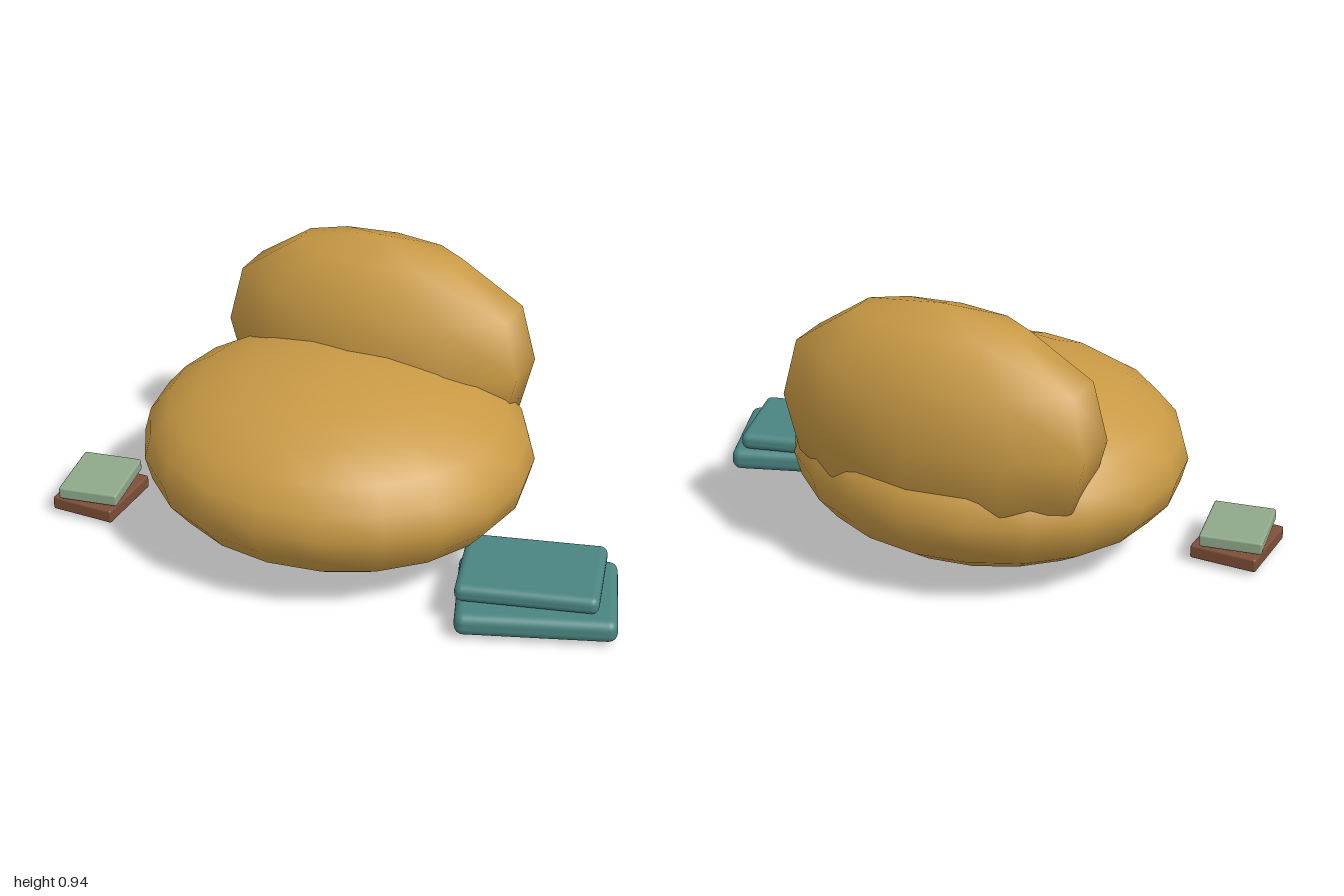
import * as THREE from 'three';
import { RoundedBoxGeometry } from 'three/addons/geometries/RoundedBoxGeometry.js';

const material = (color) => new THREE.MeshStandardMaterial({ color });

export function createModel() {
  const model = new THREE.Group();
  const fabric = material(0xc99a45);
  const blanket = material(0x4a8582);

  const add = (name, geometry, mat, [x, y, z], turn = 0) => {
    const mesh = new THREE.Mesh(geometry, mat);
    mesh.name = name;
    mesh.position.set(x, y, z);
    mesh.rotation.y = THREE.MathUtils.degToRad(turn);
    model.add(mesh);
  };

  // Squashed sphere with vertices on the z axis; bulge fills out its shoulders sideways
  const cushion = (columns, rows, rx, ry, rz, bulge = 0) => {
    const geometry = new THREE.SphereGeometry(1, columns, rows).rotateY(Math.PI / 2);
    const p = geometry.attributes.position;
    for (let i = 0; i < p.count; i++) {
      const y = p.getY(i);
      const widen = 1 + bulge * 4 * y * y * (1 - y * y);
      p.setX(i, p.getX(i) * widen);
    }
    return geometry.scale(rx, ry, rz);
  };

  // Bean bag
  add('seat', cushion(20, 12, 0.655, 0.315, 0.6), fabric, [-0.085, 0.315, 0]);
  add('backrest', cushion(10, 6, 0.552, 0.385, 0.268, 0.07), fabric, [-0.085, 0.55, -0.33]);

  // Folded blanket
  add('lowerBlanketFold', new RoundedBoxGeometry(0.51, 0.076, 0.375, 3, 0.03), blanket, [0.705, 0.052, 0.195], 20);
  add('upperBlanketFold', new RoundedBoxGeometry(0.455, 0.06, 0.33, 3, 0.025), blanket, [0.675, 0.121, 0.17], 15);

  // Stacked books
  add('lowerBook', new RoundedBoxGeometry(0.225, 0.047, 0.26, 2, 0.008), material(0x7d4e38), [-0.878, 0.039, 0.215]);
  add('upperBook', new RoundedBoxGeometry(0.206, 0.043, 0.252, 2, 0.008), material(0x8fa88a), [-0.878, 0.092, 0.215], 10);

  return model;
}
